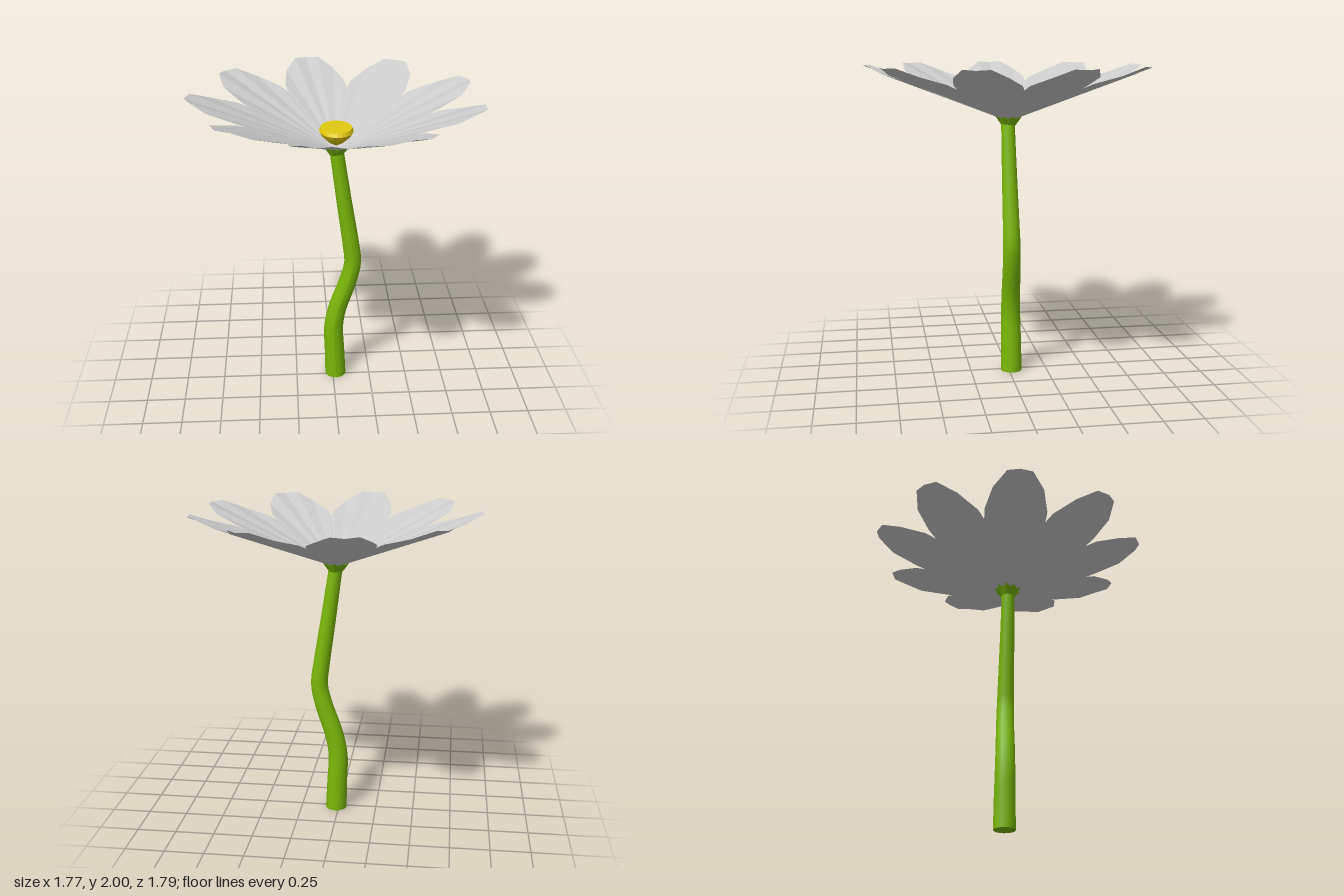
import * as THREE from 'three';

const V = (x, y, z) => new THREE.Vector3(x, y, z);
const CX = 0.02; // flower axis
const green = new THREE.MeshStandardMaterial({ color: 0x7ab808, side: THREE.DoubleSide });
const yellow = new THREE.MeshStandardMaterial({ color: 0xe2ca10, flatShading: true });
const grey = new THREE.MeshStandardMaterial({ color: 0xcccccc, side: THREE.DoubleSide, flatShading: true });

function part(name, geometry, material) {
  const mesh = new THREE.Mesh(geometry, material);
  mesh.name = name;
  return mesh;
}

// Bent tube that tapers from base to top
function stemGeometry() {
  const curve = new THREE.CatmullRomCurve3([
    V(0.018, 0, -0.018), V(0.011, 0.2, -0.018), V(0.005, 0.37, -0.016), V(0.03, 0.52, -0.013),
    V(0.1, 0.73, -0.008), V(0.13, 0.87, -0.004), V(0.119, 0.98, -0.002), V(0.07, 1.31, 0.002), V(0.02, 1.66, 0.005),
  ]);
  const rings = 32, sides = 16;
  const geo = new THREE.TubeGeometry(curve, rings, 1, sides);
  const pos = geo.attributes.position, p = V(0, 0, 0);
  for (let i = 0; i <= rings; i++) {
    const c = curve.getPointAt(i / rings);
    const r = THREE.MathUtils.lerp(0.07, 0.043, i / rings);
    for (let j = 0; j <= sides; j++) {
      const k = i * (sides + 1) + j;
      p.fromBufferAttribute(pos, k).sub(c).multiplyScalar(r).add(c);
      pos.setXYZ(k, p.x, i === 0 ? 0 : p.y, p.z);
    }
  }
  geo.computeVertexNormals();
  return geo;
}

// Pleated fan running from the flower axis to a rounded, faceted tip
function petalGeometry() {
  const half = [[0.885, 0.08], [0.775, 0.16], [0.61, 0.2], [0.42, 0.19]];
  const outline = [
    ...half.map(([u, v]) => [u, -v]).reverse(), [0.91, 0], ...half,
  ].map(([u, v], i) => {
    const r = Math.hypot(u, v);
    return V(u, 0.385 * r + (i % 2 ? 0.009 : -0.005) * r, v);
  });
  const points = [];
  for (let i = 0; i < outline.length - 1; i++) points.push(V(0, 0, 0), outline[i + 1], outline[i]);
  const geo = new THREE.BufferGeometry().setFromPoints(points);
  geo.computeVertexNormals();
  return geo;
}

// Flared cup with a toothed rim
function calyxGeometry(teeth) {
  const geo = new THREE.CylinderGeometry(0.08, 0.044, 0.055, teeth * 2, 1, true);
  const pos = geo.attributes.position;
  for (let i = 0; i <= teeth * 2; i++) {
    const s = i % 2 ? 1.12 : 0.88;
    pos.setXYZ(i, pos.getX(i) * s, pos.getY(i) + (i % 2 ? 0.006 : -0.008), pos.getZ(i) * s);
  }
  geo.computeVertexNormals();
  return geo;
}

export function createModel() {
  const model = new THREE.Group();
  model.name = 'flower';

  model.add(part('stem', stemGeometry(), green));
  const cap = part('stemBase', new THREE.CircleGeometry(0.07, 16).rotateX(Math.PI / 2), green);
  cap.position.set(0.018, 0, -0.018);
  model.add(cap);

  const calyx = part('calyx', calyxGeometry(9), green);
  calyx.position.set(CX, 1.652, 0);
  model.add(calyx);

  // Ring of nine petals
  const petals = new THREE.Group();
  petals.name = 'petals';
  petals.position.set(CX, 1.65, 0);
  const petal = petalGeometry();
  for (let i = 0; i < 9; i++) {
    const mesh = part('petal', petal, grey);
    mesh.rotation.y = Math.PI + (i * Math.PI * 2) / 9;
    petals.add(mesh);
  }
  model.add(petals);

  // Oval button in the middle, bevelled at the rim
  const profile = [[0, -0.12], [0.45, -0.09], [0.85, -0.05], [1, -0.022], [0.91, 0], [0, 0]];
  const centre = part('centre', new THREE.LatheGeometry(profile.map(([x, y]) => new THREE.Vector2(x, y)), 24), yellow);
  centre.scale.set(0.106, 1, 0.137);
  centre.position.set(CX, 1.8, 0.002);
  model.add(centre);

  return model;
}
